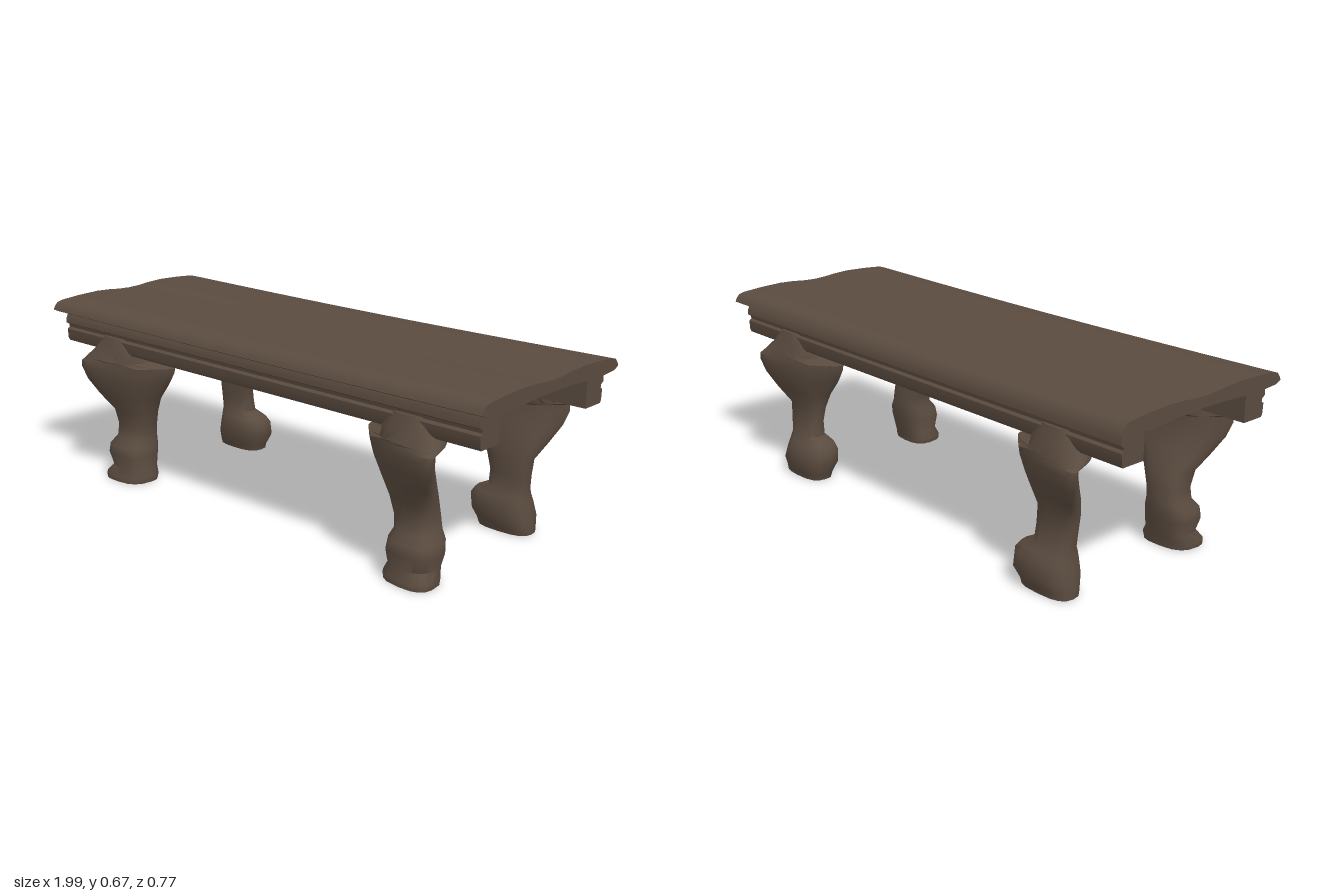
import * as THREE from 'three';
import { toCreasedNormals } from 'three/addons/utils/BufferGeometryUtils.js';

// Cross-sections from floor to apron: [y, xIn, xOut, zIn, zOut, diagonal lean 0..1]
const UPPER = [
  [0.27, 0.585, 0.755, 0.192, 0.31, 0.1],
  [0.33, 0.555, 0.785, 0.21, 0.345, 0.35],
  [0.39, 0.505, 0.815, 0.216, 0.372, 0.5],
  [0.44, 0.475, 0.83, 0.213, 0.385, 0.55],
  [0.462, 0.47, 0.83, 0.212, 0.383, 0.55],
  [0.475, 0.57, 0.825, 0.225, 0.374, 0.25],
  [0.51, 0.585, 0.805, 0.238, 0.352, 0],
  [0.56, 0.63, 0.76, 0.25, 0.335, 0],
];
const FRONT_LEG = [
  [0, 0.59, 0.78, 0.2, 0.345, 0.1],
  [0.02, 0.585, 0.782, 0.198, 0.345, 0.1],
  [0.05, 0.6, 0.765, 0.19, 0.325, 0],
  [0.1, 0.595, 0.78, 0.184, 0.337, 0],
  [0.135, 0.6, 0.775, 0.178, 0.332, 0],
  [0.165, 0.61, 0.755, 0.178, 0.305, 0],
  [0.21, 0.605, 0.75, 0.182, 0.3, 0],
  ...UPPER,
];
const BACK_LEG = [
  [0, 0.55, 0.76, 0.238, 0.348, 0],
  [0.02, 0.545, 0.76, 0.232, 0.352, 0],
  [0.06, 0.525, 0.755, 0.215, 0.37, 0],
  [0.11, 0.522, 0.745, 0.217, 0.358, 0],
  [0.135, 0.54, 0.74, 0.223, 0.345, 0],
  [0.16, 0.59, 0.74, 0.24, 0.325, 0],
  [0.21, 0.595, 0.745, 0.24, 0.32, 0],
  ...UPPER.map(([y, a, b, c, d, e]) => [y, a, b, Math.max(c, 0.238), d, e]),
];

// Loft rounded sections into a closed leg, placed in the quadrant (sx, sz)
function legGeometry(rows, sx, sz) {
  const n = 16, pos = [], idx = [];
  const soft = (v) => Math.sign(v) * Math.pow(Math.abs(v), 0.72);
  for (const [y, x0, x1, z0, z1, lean] of rows) {
    for (let i = 0; i < n; i++) {
      const t = (i / n) * Math.PI * 2;
      const u = soft(Math.cos(t));
      const v = soft(Math.cos(t - (Math.PI / 2) * (1 - lean)));
      pos.push(sx * ((x0 + x1) / 2 + u * (x1 - x0) / 2), y,
        sz * ((z0 + z1) / 2 + v * (z1 - z0) / 2));
    }
  }
  const tri = (a, b, c) => (sx * sz > 0 ? idx.push(a, b, c) : idx.push(a, c, b));
  for (let r = 0; r < rows.length - 1; r++) {
    for (let i = 0; i < n; i++) {
      const a = r * n + i, b = r * n + ((i + 1) % n);
      tri(a, a + n, b);
      tri(b, a + n, b + n);
    }
  }
  const top = (rows.length - 1) * n;
  for (let i = 1; i < n - 1; i++) {
    tri(0, i, i + 1);
    tri(top, top + i + 1, top + i);
  }
  const g = new THREE.BufferGeometry();
  g.setAttribute('position', new THREE.Float32BufferAttribute(pos, 3));
  g.setIndex(idx);
  return toCreasedNormals(g, 0.9);
}

// Extrude a (z, y) profile along x, centred
function railGeometry(points, length, steps) {
  const shape = new THREE.Shape(points.map(([z, y]) => new THREE.Vector2(-z, y)));
  const g = new THREE.ExtrudeGeometry(shape, { depth: length, steps, bevelEnabled: false });
  g.translate(0, 0, -length / 2);
  g.rotateY(Math.PI / 2);
  return g;
}

export function createModel() {
  const group = new THREE.Group();
  const wood = new THREE.MeshStandardMaterial({ color: 0x5a4b3f });
  wood.name = 'dark brown wood';
  const add = (name, geometry) => {
    const mesh = new THREE.Mesh(geometry, wood);
    mesh.name = name;
    group.add(mesh);
  };

  // Gently rippled top with a rounded lip
  const half = [
    [0, 0.657], [0.05, 0.659], [0.1, 0.664], [0.16, 0.667], [0.25, 0.664], [0.33, 0.658],
    [0.352, 0.652], [0.364, 0.638], [0.37, 0.626], [0.345, 0.615],
    [0.24, 0.609], [0.2, 0.612], [0.1, 0.618], [0, 0.62],
  ];
  const profile = [...half, ...half.slice(1, -1).reverse().map(([z, y]) => [-z, y])];
  const slab = railGeometry(profile, 1.99, 12);
  const p = slab.attributes.position;
  for (let i = 0; i < p.count; i++) {
    const c = Math.cos(p.getX(i) * Math.PI / 2);
    p.setY(i, p.getY(i) - 0.006 * c);
    p.setZ(i, p.getZ(i) * (1 - 0.012 * c));
  }
  add('top', toCreasedNormals(slab, 0.7));

  // Moulded apron under each long side
  for (const s of [1, -1]) {
    const apron = [
      [0.237, 0.505], [0.325, 0.505], [0.33, 0.515], [0.332, 0.55], [0.322, 0.557],
      [0.324, 0.568], [0.336, 0.575], [0.334, 0.595], [0.325, 0.612], [0.237, 0.612],
    ].map(([z, y]) => [z * s, y]);
    add(s > 0 ? 'frontApron' : 'backApron', toCreasedNormals(railGeometry(apron, 1.93, 1), 0.5));
  }

  // Curved legs with an inner bracket, one in each corner
  for (const sx of [1, -1]) {
    const side = sx > 0 ? 'Left' : 'Right';
    add('front' + side + 'Leg', legGeometry(FRONT_LEG, sx, 1));
    add('back' + side + 'Leg', legGeometry(BACK_LEG, sx, -1));
  }
  return group;
}
